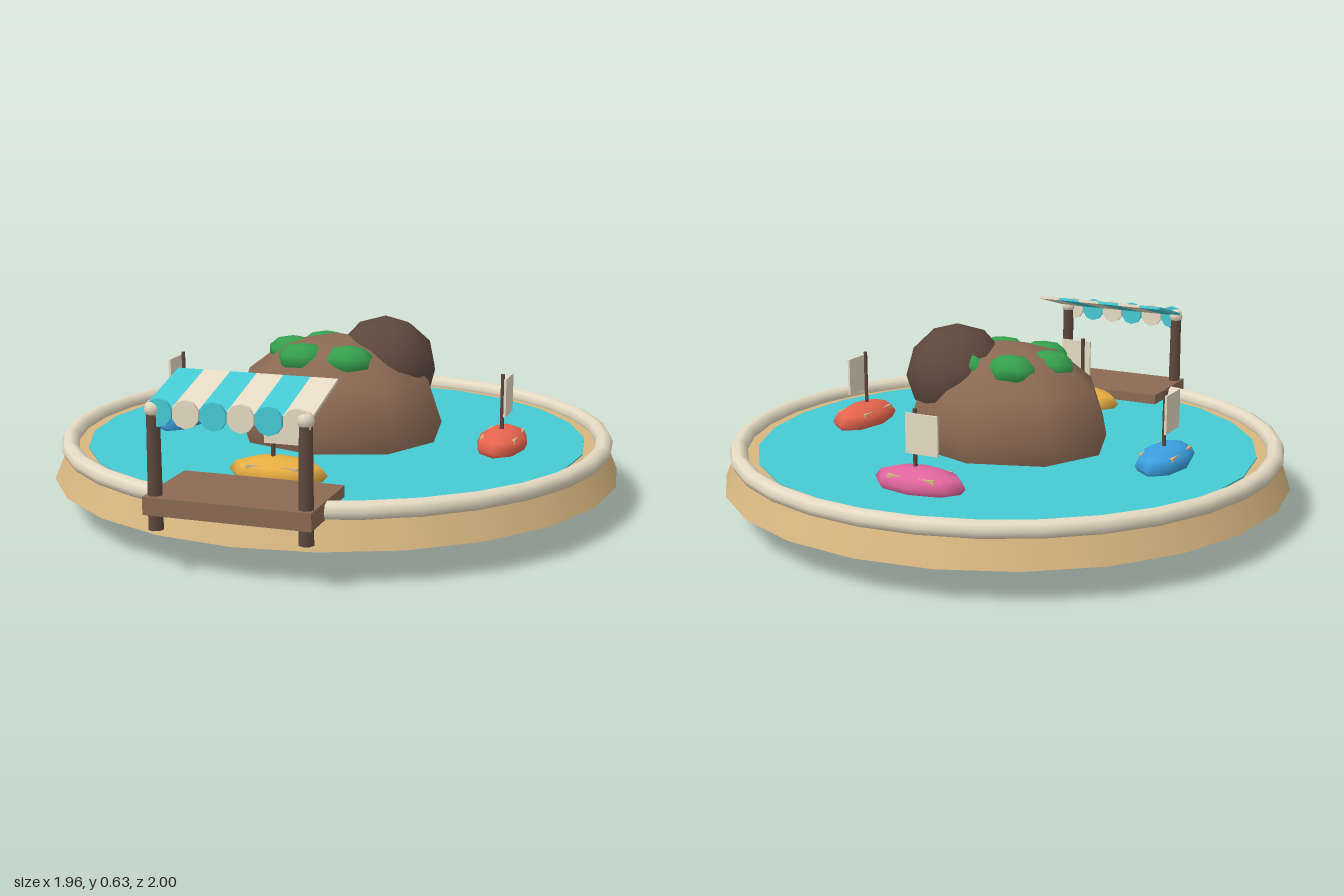
import * as THREE from 'three';

const mat = (name, color) => {
  const m = new THREE.MeshStandardMaterial({ color });
  m.name = name;
  return m;
};

export function createModel() {
  const sand = mat('sand', 0xd8b680), cream = mat('cream', 0xe6dbc3), teal = mat('teal', 0x46cad4);
  const brown = mat('brown', 0x8c6a54), darkBrown = mat('darkBrown', 0x5e483e), green = mat('green', 0x35a04d);
  const red = mat('red', 0xec6750), blue = mat('blue', 0x3b9fe0);
  const yellow = mat('yellow', 0xe8ae42), pink = mat('pink', 0xe0659d);

  const model = new THREE.Group();
  model.name = 'boatPond';
  const add = (parent, name, geometry, material, x, y, z) => {
    const mesh = new THREE.Mesh(geometry, material);
    mesh.name = name;
    mesh.position.set(x, y, z);
    parent.add(mesh);
    return mesh;
  };
  const box = (x, y, z) => new THREE.BoxGeometry(x, y, z);
  const cyl = (top, bottom, h, sides) => new THREE.CylinderGeometry(top, bottom, h, sides);

  // Round pond, centred slightly behind the origin
  const pond = new THREE.Group();
  pond.name = 'pond';
  pond.position.z = -0.022;
  model.add(pond);
  add(pond, 'sandBase', cyl(0.935, 0.978, 0.1, 24), sand, 0, 0.16, 0);
  add(pond, 'water', cyl(0.862, 0.862, 0.02, 24), teal, 0, 0.205, 0);
  const rim = new THREE.TorusGeometry(0.925, 0.03, 8, 32);
  rim.rotateX(-Math.PI / 2);
  add(pond, 'stoneRim', rim, cream, 0, 0.22, 0);

  // Rock island, with a smaller boulder and a ring of bushes
  add(pond, 'island', new THREE.SphereGeometry(1, 8, 6), brown, 0, 0.29, 0).scale.set(0.377, 0.288, 0.312);
  add(pond, 'boulder', new THREE.IcosahedronGeometry(1, 1), darkBrown, 0.155, 0.455, -0.07).scale.set(0.178, 0.18, 0.178);
  for (let i = 1; i <= 5; i++) {
    const a = i * Math.PI / 3;
    add(pond, 'bush', new THREE.SphereGeometry(1, 7, 5), green,
      Math.cos(a) * 0.162, 0.505, Math.sin(a) * 0.145).scale.set(0.092, 0.055, 0.074);
  }

  // Four sailing boats, each turned a quarter from the last
  [yellow, red, pink, blue].forEach((paint, i) => {
    const a = i * Math.PI / 2;
    const boat = new THREE.Group();
    boat.name = 'boat';
    boat.position.set(Math.sin(a) * 0.59, 0, Math.cos(a) * 0.59);
    boat.rotation.y = a;
    pond.add(boat);
    add(boat, 'hull', new THREE.SphereGeometry(1, 8, 6), paint, 0, 0.235, 0).scale.set(0.165, 0.052, 0.085);
    add(boat, 'deck', box(0.17, 0.02, 0.12), sand, 0, 0.256, 0);
    add(boat, 'mast', cyl(0.007, 0.007, 0.21, 6), darkBrown, -0.015, 0.367, 0);
    add(boat, 'sail', box(0.116, 0.13, 0.008), cream, 0.018, 0.395, 0.013);
  });

  // Landing stage with two posts
  const dock = new THREE.Group();
  dock.name = 'dock';
  model.add(dock);
  add(dock, 'platform', box(0.524, 0.055, 0.304), brown, 0, 0.223, 0.848);
  for (const side of [-1, 1]) {
    add(dock, 'post', cyl(0.021, 0.024, 0.37, 8), darkBrown, side * 0.235, 0.33, 0.966);
    add(dock, 'postKnob', new THREE.SphereGeometry(0.027, 8, 6), cream, side * 0.235, 0.51, 0.966);
  }

  // Striped sloping awning with a scalloped front edge
  const tilt = Math.atan2(0.065, 0.235);
  for (let i = 0; i < 6; i++) {
    const material = i % 2 ? cream : teal;
    const x = (i - 2.5) * 0.085;
    add(dock, 'awningStripe', box(0.085, 0.01, 0.245), material, x, 0.548, 0.856).rotation.x = tilt;
    const scallop = cyl(0.043, 0.043, 0.012, 10);
    scallop.rotateX(Math.PI / 2);
    add(dock, 'awningScallop', scallop, material, x, 0.502, 0.974);
  }
  return model;
}
